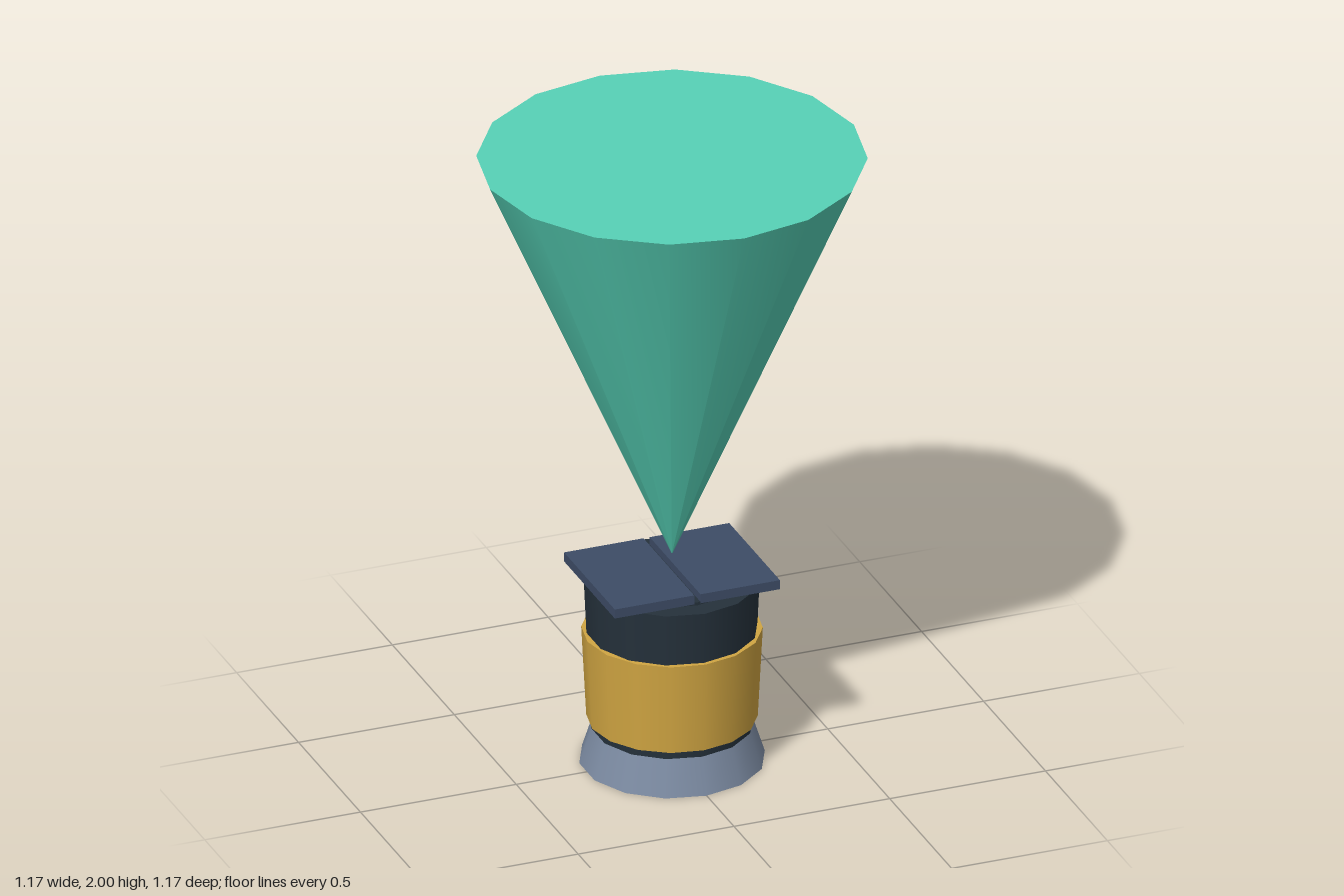
import * as THREE from 'three';

const paint = (name, color) => {
  const m = new THREE.MeshStandardMaterial({ color });
  m.name = name;
  return m;
};

export function createModel() {
  const group = new THREE.Group();
  const slate = paint('slate', 0x7b8aa1);
  const dark = paint('dark', 0x25313b);
  const gold = paint('gold', 0xd0a542);
  const navy = paint('navy', 0x3d4c66);
  const teal = paint('teal', 0x57d2b7);

  const add = (name, geometry, material, x, y, z) => {
    const mesh = new THREE.Mesh(geometry, material);
    mesh.name = name;
    mesh.position.set(x, y, z);
    group.add(mesh);
  };
  // Tapered round part standing between two heights
  const drum = (name, rTop, rBottom, y0, y1, sides, material) =>
    add(name, new THREE.CylinderGeometry(rTop, rBottom, y1 - y0, sides), material, 0, (y0 + y1) / 2, 0);

  // Canister: flared foot, dark core, gold sleeve, raised top disc
  drum('foot', 0.243, 0.28, 0, 0.115, 14, slate);
  drum('core', 0.266, 0.243, 0.1, 0.6, 14, dark);
  drum('sleeve', 0.271, 0.256, 0.14, 0.433, 16, gold);
  drum('topDisc', 0.205, 0.205, 0.595, 0.61, 16, dark);

  // Pair of shutter plates with a narrow slot between them
  for (const side of [-1, 1]) {
    add(side > 0 ? 'leftShutter' : 'rightShutter',
      new THREE.BoxGeometry(0.255, 0.03, 0.41), navy, side * 0.1375, 0.62, 0);
  }

  // Beam: inverted cone hovering above the slot
  drum('beamCone', 0.584, 0.002, 0.68, 2, 16, teal);
  return group;
}
